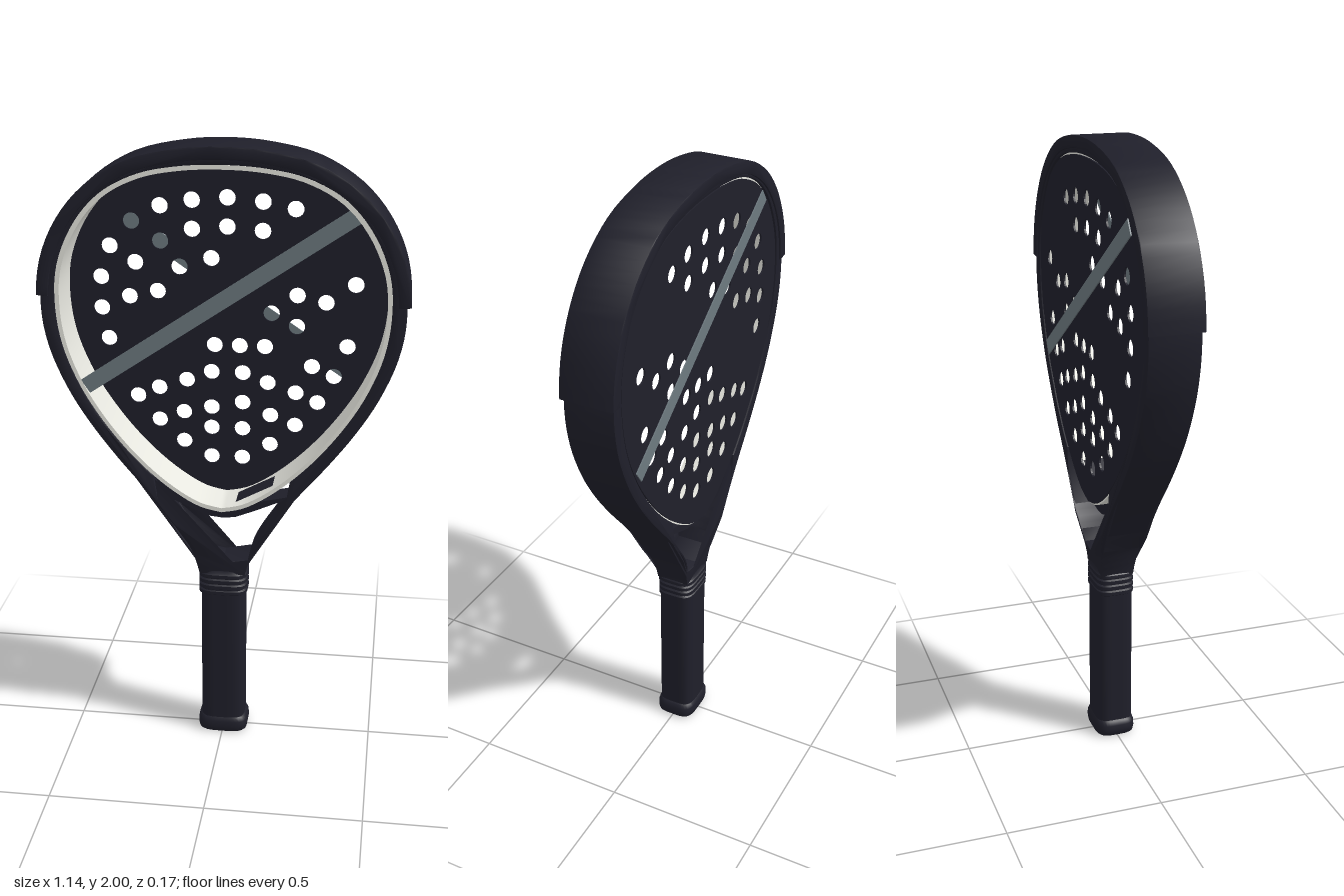
import * as THREE from 'three';
import { toCreasedNormals } from 'three/addons/utils/BufferGeometryUtils.js';

const mat = (name, color) => {
  const m = new THREE.MeshStandardMaterial({ color });
  m.name = name;
  return m;
};
const V = (x, y) => new THREE.Vector2(x, y);

// Half outline (bottom to top, +x side) -> smooth mirrored outline
function outline(half, steps = 120) {
  const right = half.map(([x, y]) => V(x, y));
  const left = half.slice(0, -1).reverse().map(([x, y]) => V(-x, y));
  return new THREE.SplineCurve([...right, ...left]).getPoints(steps);
}
const scaled = (pts, sx, sy, cy) => pts.map((p) => V(p.x * sx, cy + (p.y - cy) * sy));

// Plate from outline and holes, between two depths, optionally bevelled
function slab(shape, z0, z1, bevel = 0) {
  const g = new THREE.ExtrudeGeometry(shape, {
    depth: z1 - z0 - 2 * bevel, curveSegments: 10, bevelEnabled: bevel > 0,
    bevelSize: bevel, bevelOffset: -bevel, bevelThickness: bevel, bevelSegments: 2,
  });
  g.translate(0, 0, z0 + bevel);
  return g;
}

const FRAME = [[0.075, 0.6], [0.085, 0.64], [0.105, 0.7], [0.155, 0.78], [0.24, 0.895], [0.335, 1.01],
  [0.42, 1.125], [0.488, 1.24], [0.54, 1.37], [0.56, 1.5], [0.545, 1.64], [0.49, 1.765],
  [0.4, 1.868], [0.275, 1.942], [0.13, 1.976], [0, 1.985]];
const RING = [[0, 0.835], [0.08, 0.856], [0.18, 0.92], [0.28, 1.012], [0.37, 1.122], [0.443, 1.24],
  [0.495, 1.37], [0.515, 1.5], [0.505, 1.63], [0.452, 1.755], [0.368, 1.852], [0.255, 1.912],
  [0.13, 1.938], [0, 1.945]];
const THROAT = [[0, 0.645], [0.085, 0.662], [0.105, 0.7], [0.137, 0.75], [0.205, 0.868]];

// Perforation centres, in hundredths
const HOLES = [
  -21, 179, -11, 181, 0, 182, 11, 181, 21, 179, -30, 174, -11, 172, 0, 173, 11, 172, -21, 168,
  -37, 166, -29, 161, -15, 160, -5, 163, -40, 156, -22, 152, -31, 150, -40, 146, -38, 136,
  40, 156, 22, 152, 31, 150, 14, 146, 22, 142, 38, 136, 27, 129, 34, 126,
  -4, 135, 4, 135, 12, 135, -5, 126, 5, 126, -13, 123, 13, 123, -22, 120, 22, 120,
  -29, 117, 29, 117, 5, 116, -5, 114, -14, 112, 14, 112, -22, 109, 22, 109,
  -5, 107, 5, 107, -14, 102, 14, 102, -5, 97, 5, 97];

// Turned part with a rounded-square section
function grip(profile, depthRatio = 0.84) {
  const g = new THREE.LatheGeometry(profile.map(([r, y]) => V(r, y)), 48);
  const p = g.attributes.position;
  for (let i = 0; i < p.count; i++) {
    const x = p.getX(i), z = p.getZ(i), r = Math.hypot(x, z);
    if (r < 1e-6) continue;
    const k = 1 / Math.pow((x / r) ** 4 + (z / r) ** 4, 0.25);
    p.setXYZ(i, x * k, p.getY(i), z * k * depthRatio);
  }
  return toCreasedNormals(g, 0.7);
}

export function createModel() {
  const dark = mat('charcoal', 0x1f1f2a);
  const white = mat('off white', 0xf4f4ec);
  const grey = mat('slate grey', 0x6d797f);
  dark.side = white.side = grey.side = THREE.DoubleSide;

  const model = new THREE.Group();
  model.name = 'padelRacket';
  const add = (name, geometry, material) => {
    const m = new THREE.Mesh(geometry, material);
    m.name = name;
    model.add(m);
    return m;
  };

  const framePts = outline(FRAME);
  const ringPts = outline(RING);

  // Frame: hoop and the two throat arms, thinning towards the neck
  const frame = new THREE.Shape(framePts);
  const sides = ringPts.filter((p) => p.y > 0.935);
  frame.holes.push(new THREE.Path([
    ...THROAT.map(([x, y]) => V(x, y)), ...sides,
    ...THROAT.slice(1).reverse().map(([x, y]) => V(-x, y)),
  ]));
  const frameGeo = slab(frame, -0.08, 0.08, 0.005);
  const pos = frameGeo.attributes.position;
  for (let i = 0; i < pos.count; i++) {
    const t = THREE.MathUtils.smoothstep(pos.getY(i), 0.6, 0.8);
    pos.setZ(i, pos.getZ(i) * THREE.MathUtils.lerp(0.7, 1, t));
  }
  add('frame', toCreasedNormals(frameGeo, 0.6), dark);

  // Bridge under the face, slimmer than the frame
  const low = ringPts.filter((p) => p.y <= 0.96);
  const lowRight = low.filter((p) => p.x >= 0), lowLeft = low.filter((p) => p.x < 0);
  const bridge = new THREE.Shape([
    ...lowLeft, ...lowRight,
    V(0.215, 0.885), V(0.19, 0.868), V(0.1, 0.828), V(0.04, 0.804), V(0, 0.8),
    V(-0.04, 0.804), V(-0.1, 0.828), V(-0.19, 0.868), V(-0.215, 0.885),
  ]);
  add('throatBridge', toCreasedNormals(slab(bridge, -0.04, 0.04), 0.6), dark);

  // Bumper wrapped over the top of the hoop
  const top = framePts.filter((p) => p.y >= 1.505);
  const bumper = new THREE.Shape([
    ...scaled(top, 1.022, 1.031, 1.5),
    ...scaled(top, 0.955, 0.95, 1.5).reverse(),
  ]);
  add('bumper', toCreasedNormals(slab(bumper, -0.086, 0.086, 0.004), 0.6), dark);

  // White lining band around the face
  const band = new THREE.Shape(ringPts);
  band.holes.push(new THREE.Path(scaled(ringPts, 0.973, 0.975, 1.4)));
  add('liningBand', toCreasedNormals(slab(band, -0.07, 0.076), 0.6), white);

  // Perforated hitting face near the back
  const face = new THREE.Shape(scaled(ringPts, 0.99, 0.99, 1.4));
  for (let i = 0; i < HOLES.length; i += 2) {
    face.holes.push(new THREE.Path().absarc(HOLES[i] / 100, HOLES[i + 1] / 100, 0.026, 0, Math.PI * 2, true));
  }
  add('hittingFace', slab(face, -0.076, -0.07), dark);

  // Diagonal stripes, one in front and its mirror at the back
  for (const [name, s, z] of [['frontStripe', 1, 0.074], ['backStripe', -1, -0.079]]) {
    const stripe = add(name, new THREE.BoxGeometry(1.0, 0.05, 0.004), grey);
    stripe.position.set(-0.015 * s, 1.524, z);
    stripe.rotation.z = s * Math.atan2(0.562, 0.83);
  }

  // Handle, ribbed collar and butt cap
  add('handle', grip([[0, 0.03], [0.073, 0.03], [0.073, 0.55], [0, 0.55]]), dark);
  const ribs = [[0, 0.525]];
  for (let i = 0; i < 4; i++) {
    const y = 0.525 + i * 0.02;
    ribs.push([0.074, y], [0.08, y + 0.004], [0.08, y + 0.015], [0.074, y + 0.019]);
  }
  ribs.push([0.07, 0.615], [0, 0.62]);
  add('collar', grip(ribs, 0.8), dark);
  add('buttCap', grip([[0, 0], [0.074, 0], [0.081, 0.006], [0.084, 0.022], [0.083, 0.04],
    [0.077, 0.054], [0.072, 0.058], [0, 0.058]], 0.81), dark);

  return model;
}
